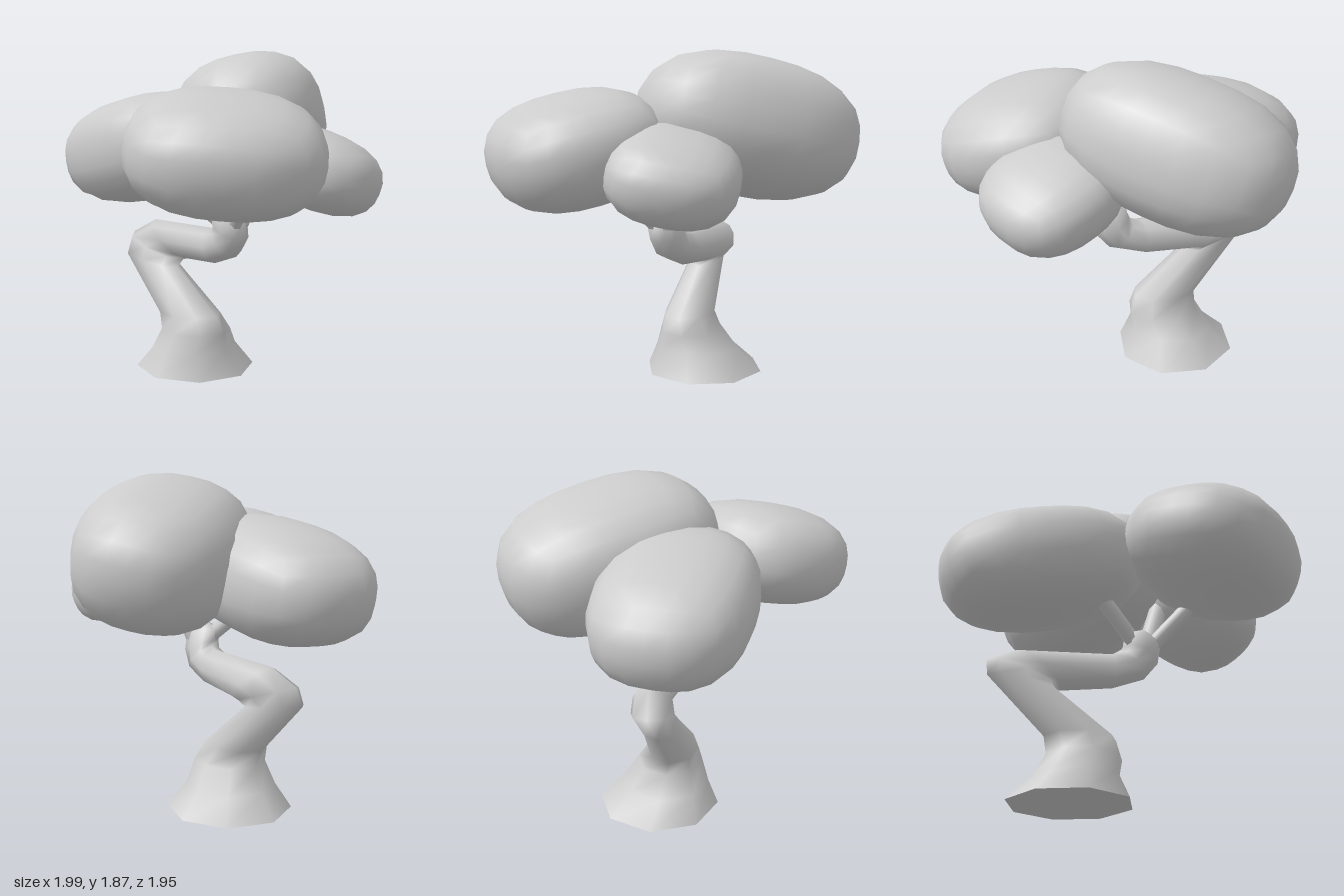
import * as THREE from 'three';
import { mergeVertices } from 'three/addons/utils/BufferGeometryUtils.js';

const SIDES = 8;

export function createModel() {
  const group = new THREE.Group();
  const material = new THREE.MeshStandardMaterial({ color: 0xcccccc });

  function add(name, geometry) {
    const mesh = new THREE.Mesh(geometry, material);
    mesh.name = name;
    group.add(mesh);
    return mesh;
  }

  // Skin over elliptical rings, each given by two opposite edge points
  // in the xy plane, a z centre and a z half width.
  function loft(rings) {
    const pos = [], index = [];
    rings.forEach(([x1, y1, x2, y2, zc, rz], i) => {
      for (let j = 0; j < SIDES; j++) {
        const t = (j / SIDES) * Math.PI * 2;
        const c = Math.cos(t) / 2;
        pos.push((x1 + x2) / 2 + (x2 - x1) * c, (y1 + y2) / 2 + (y2 - y1) * c, zc + rz * Math.sin(t));
        if (i === 0) continue;
        const k = (j + 1) % SIDES, a = (i - 1) * SIDES, b = i * SIDES;
        index.push(a + j, b + j, a + k, a + k, b + j, b + k);
      }
    });
    const geo = new THREE.BufferGeometry();
    geo.setAttribute('position', new THREE.Float32BufferAttribute(pos, 3));
    geo.setIndex(index);
    geo.computeVertexNormals();
    return geo;
  }

  // Bent trunk: flared foot, lean to the side, elbow and level limb
  add('trunk', loft([
    [-0.55, 0, 0.16, 0, -0.07, 0.35],
    [-0.42, 0.12, 0.07, 0.15, -0.035, 0.255],
    [-0.35, 0.25, 0.08, 0.25, -0.01, 0.19],
    [-0.37, 0.34, 0.04, 0.35, 0.01, 0.15],
    [-0.69, 0.66, -0.28, 0.6, -0.01, 0.105],
    [-0.69, 0.77, -0.28, 0.64, -0.06, 0.12],
    [-0.52, 0.86, -0.26, 0.645, -0.075, 0.11],
    [0.0, 0.87, 0.02, 0.665, 0.0, 0.11],
    [0.06, 0.88, 0.2, 0.73, 0.03, 0.105],
    [0.07, 0.91, 0.28, 0.83, 0.05, 0.095],
    [0.07, 0.98, 0.29, 0.93, 0.07, 0.09],
    [0.19, 1.02, 0.19, 1.02, 0.08, 0],
  ]));

  // Flat underside of the trunk
  const foot = add('trunkUnderside', new THREE.CircleGeometry(0.353, SIDES));
  foot.rotation.x = Math.PI / 2;
  foot.position.set(-0.195, 0, -0.07);

  // Forking branches that carry the foliage
  function branch(name, radius, ...points) {
    const curve = new THREE.CatmullRomCurve3(points.map((p) => new THREE.Vector3(...p)));
    add(name, new THREE.TubeGeometry(curve, 6, radius, SIDES));
  }
  branch('rightBranch', 0.045, [0.18, 0.88, 0.05], [0.06, 0.99, 0.11], [-0.11, 1.14, 0.18]);
  branch('frontBranch', 0.042, [0.2, 0.88, 0.06], [0.29, 0.99, 0.13], [0.42, 1.14, 0.22]);
  branch('leftBranch', 0.055, [0.2, 0.86, 0.05], [0.24, 0.98, 0.02], [0.33, 1.24, -0.03]);

  // Rounded foliage clump: a box grid swollen into a soft superellipsoid
  function clump(name, position, half, tilt) {
    const P = 2.5;
    let geo = new THREE.BoxGeometry(2, 2, 2, 6, 6, 6);
    geo.deleteAttribute('normal');
    geo.deleteAttribute('uv');
    geo = mergeVertices(geo);
    const pos = geo.attributes.position, v = new THREE.Vector3();
    for (let i = 0; i < pos.count; i++) {
      v.fromBufferAttribute(pos, i);
      v.set(Math.tan(v.x * 0.785), Math.tan(v.y * 0.785), Math.tan(v.z * 0.785));
      const n = Math.abs(v.x) ** P + Math.abs(v.y) ** P + Math.abs(v.z) ** P;
      v.multiplyScalar(n ** (-1 / P));
      pos.setXYZ(i, v.x * half[0], v.y * half[1], v.z * half[2]);
    }
    geo.computeVertexNormals();
    const mesh = add(name, geo);
    mesh.position.set(...position);
    const [rx, ry, rz] = tilt.map(THREE.MathUtils.degToRad);
    mesh.rotation.set(rx, ry, rz, 'ZXY');
  }
  clump('rightFoliage', [-0.42, 1.315, 0.06], [0.59, 0.31, 0.42], [0, -8, 11]);
  clump('backFoliage', [0, 1.455, -0.365], [0.44, 0.375, 0.63], [-4, 34, 17]);
  clump('frontFoliage', [0.468, 1.355, 0.46], [0.505, 0.295, 0.465], [7, 40, -12]);
  clump('leftFoliage', [0.61, 1.24, -0.13], [0.36, 0.215, 0.345], [-14, 10, -16]);

  return group;
}
